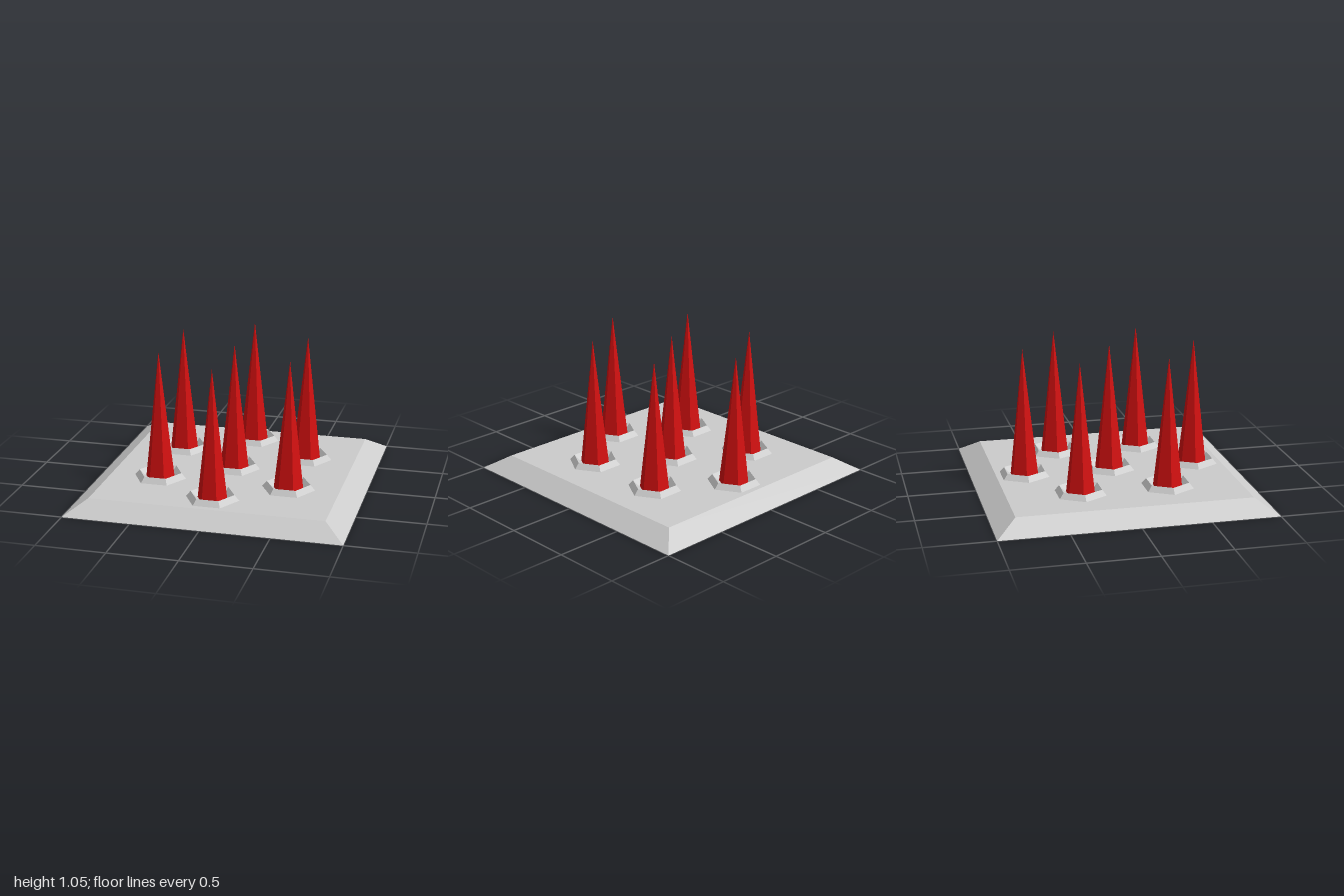
import * as THREE from 'three';

const grey = new THREE.MeshStandardMaterial({ color: 0xcccccc, flatShading: true, side: THREE.DoubleSide });
const red = new THREE.MeshStandardMaterial({ color: 0xd41010, flatShading: true, side: THREE.DoubleSide });

// Faceted shell: a profile of [radius, y] points turned with a few flat sides
function facetedShell(name, profile, sides, startAngle, material) {
  const points = profile.map(([r, y]) => new THREE.Vector2(r, y));
  const geometry = new THREE.LatheGeometry(points, sides, startAngle, Math.PI * 2).toNonIndexed();
  geometry.computeVertexNormals();
  const mesh = new THREE.Mesh(geometry, material);
  mesh.name = name;
  return mesh;
}

export function createModel() {
  const model = new THREE.Group();
  model.name = 'spikeTrap';

  // Square base plate with sloping edges, hollow underneath
  const diagonal = Math.SQRT2;
  model.add(facetedShell('basePlate',
    [[diagonal, 0], [0.85 * diagonal, 0.1], [0, 0.1]], 4, Math.PI / 4, grey));

  // Spikes: one in the middle, six around it
  const positions = [
    [0, -0.64], [0, 0], [0, 0.64],
    [-0.48, -0.32], [0.48, -0.32], [-0.48, 0.32], [0.48, 0.32],
  ];
  for (const [x, z] of positions) {
    const unit = new THREE.Group();
    unit.name = 'spikeUnit';
    // Raised six-sided collar, sloping both outwards and inwards
    unit.add(facetedShell('collar',
      [[0.195, 0.1], [0.16, 0.14], [0.12, 0.1]], 6, Math.PI / 6, grey));
    // Spike passes through the plate and is open at its foot
    unit.add(facetedShell('spike', [[0.12, 0], [0, 1.05]], 6, Math.PI / 6, red));
    unit.position.set(x, 0, z);
    model.add(unit);
  }
  return model;
}
